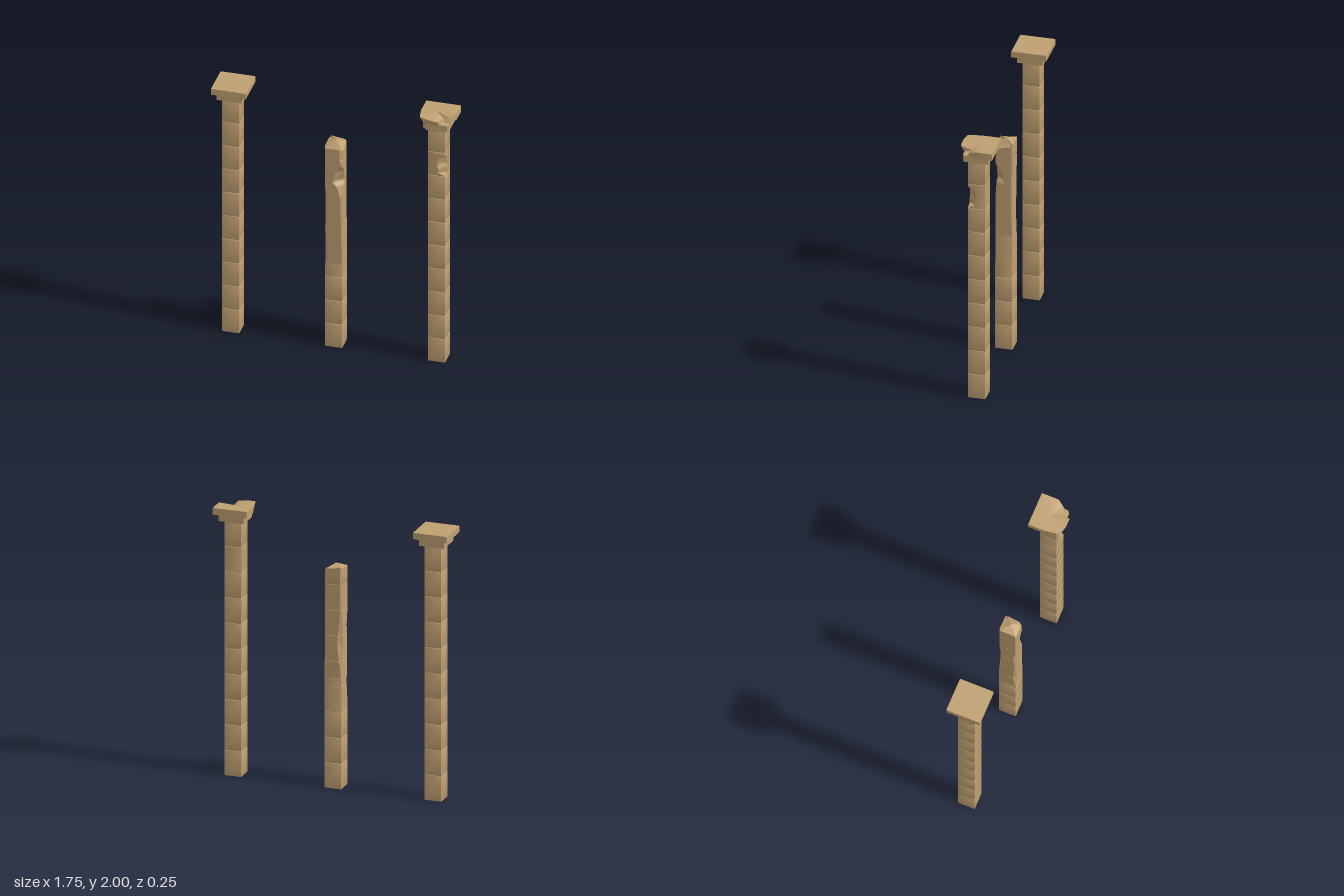
import * as THREE from 'three';
import { toCreasedNormals } from 'three/addons/utils/BufferGeometryUtils.js';

const stone = new THREE.MeshStandardMaterial({ color: 0xc0a072 });
const HALF = 0.063, BLOCK = 0.1895, GROOVE = 0.0025;

// Skin a stack of equal-length rings of [x, y, z] and close both ends.
// Rings run counter-clockwise seen from above.
function loft(name, rings, topCentre, crease = 0.9) {
  const pos = [], n = rings[0].length;
  const tri = (a, b, c) => pos.push(...a, ...b, ...c);
  const mean = (r) => [0, 1, 2].map((k) => r.reduce((s, p) => s + p[k], 0) / n);
  const low = rings[0], high = rings[rings.length - 1];
  const highMid = topCentre || mean(high);
  const lowMid = [highMid[0], mean(low)[1], highMid[2]];
  for (let i = 0; i < n; i++) {
    const j = (i + 1) % n;
    for (let r = 0; r + 1 < rings.length; r++) {
      const a = rings[r], b = rings[r + 1];
      tri(a[i], a[j], b[j]);
      tri(a[i], b[j], b[i]);
    }
    tri(lowMid, low[j], low[i]);
    tri(highMid, high[i], high[j]);
  }
  const geo = new THREE.BufferGeometry();
  geo.setAttribute('position', new THREE.Float32BufferAttribute(pos, 3));
  const mesh = new THREE.Mesh(toCreasedNormals(geo, crease), stone);
  mesh.name = name;
  return mesh;
}

// Square section whose four corners are each hollowed by their own cut
const CORNERS = [[1, 1], [1, -1], [-1, -1], [-1, 1]];
function section(h, y, cuts = [0, 0, 0, 0], shift = 0) {
  return CORNERS.flatMap(([sx, sz], i) => {
    const c = Math.max(cuts[i], 0.002), m = h - c * 0.62;
    const point = (x, z) => [sx * x + shift, y, sz * z + shift];
    const onZ = point(h - c, h), mid = point(m, m), onX = point(h, h - c);
    return sx * sz > 0 ? [onZ, mid, onX] : [onX, mid, onZ];
  });
}

// Linear lookup in a list of [height, cut]
function sample(list, y) {
  if (!list.length) return 0;
  if (y <= list[0][0]) return list[0][1];
  for (let i = 1; i < list.length; i++) {
    const [y0, c0] = list[i - 1], [y1, c1] = list[i];
    if (y <= y1) return c0 + ((c1 - c0) * (y - y0)) / (y1 - y0);
  }
  return list[list.length - 1][1];
}

// Full-width rings between two seams, with corner wear
function wornRings(y0, y1, steps, wear) {
  return Array.from({ length: steps + 1 }, (_, s) => {
    const y = y0 + GROOVE + ((y1 - y0 - 2 * GROOVE) * s) / steps;
    return section(HALF, y, wear.map((l) => sample(l, y)));
  });
}

// One shaft block with chamfered seams
function block(i, name = 'shaftBlock', steps = 1, wear = [[], [], [], []]) {
  const y0 = i * BLOCK, y1 = y0 + BLOCK;
  return loft(name, [section(HALF - GROOVE, y0), ...wornRings(y0, y1, steps, wear),
    section(HALF - GROOVE, y1)]);
}

function shaft(group, from, to) {
  for (let i = from; i < to; i++) group.add(block(i));
}

// Square slab with tiny chamfers
function slab(name, h, y0, y1, cuts) {
  const e = 0.002;
  return loft(name, [section(h - e, y0, cuts), section(h, y0 + e, cuts),
    section(h, y1 - e, cuts), section(h - e, y1, cuts)], undefined, 0.5);
}

function intactColumn() {
  const g = new THREE.Group();
  g.name = 'intactColumn';
  shaft(g, 0, 10);
  g.add(slab('capitalNeck', 0.095, 1.895, 1.95), slab('capitalSlab', 0.127, 1.95, 2));
  return g;
}

function brokenColumn() {
  const g = new THREE.Group();
  g.name = 'brokenColumn';
  const wear = [
    [[0.57, 0], [0.9, 0.008], [1.22, 0.014], [1.31, 0.04], [1.335, 0.075], [1.38, 0.058],
      [1.42, 0.05], [1.45, 0.03], [1.47, 0.01], [1.6, 0.02]],
    [[0.84, 0], [1.1, 0.012], [1.5, 0.008]],
    [[0.8, 0], [1.08, 0.032], [1.3, 0.01], [1.5, 0.008]],
    [[0.6, 0], [0.76, 0.02], [0.95, 0.008], [1.2, 0.018], [1.3, 0.004]],
  ];
  shaft(g, 0, 3);
  // Worn upper shaft: seams survive only on the back and right faces
  const rings = [section(HALF - GROOVE, 3 * BLOCK)];
  for (let i = 3; i < 8; i++) {
    const y1 = (i + 1) * BLOCK;
    rings.push(...wornRings(i * BLOCK, y1, 12, wear),
      section(HALF - GROOVE / 2, y1, wear.map((l) => sample(l, y1)), GROOVE / 2));
  }
  // Jagged stump at the top
  const cuts = wear.map((l) => sample(l, 1.58));
  const heights = [1.61, 1.59, 1.595, 1.62, 1.615, 1.63, 1.645, 1.62, 1.635, 1.63, 1.605, 1.605];
  const crown = section(HALF, 0, cuts).map(([x, , z], i) => [x, heights[i], z]);
  rings.push(section(HALF, 1.52, cuts), section(HALF, 1.57, cuts), crown);
  g.add(loft('brokenShaft', rings, [0, 1.66, 0], 0.6));
  return g;
}

function damagedColumn() {
  const g = new THREE.Group();
  g.name = 'damagedColumn';
  shaft(g, 0, 8);
  // Deep bite out of the front corner of the ninth block
  const bite = [[1.524, 0.002], [1.532, 0.048], [1.57, 0.046], [1.6, 0.06], [1.635, 0.054],
    [1.662, 0.046], [1.67, 0.022], [1.682, 0.002]];
  g.add(block(8, 'chippedBlock', 24, [bite, [], [], []]));
  shaft(g, 9, 10);
  g.add(slab('capitalNeck', 0.095, 1.895, 1.95, [0.01, 0, 0, 0.025]));
  // Broken slab: [x, z] outline at the bottom, then [x, z, height] at the top
  const under = [[-0.127, -0.127], [-0.127, 0], [-0.1, 0.06], [-0.085, 0.1], [-0.04, 0.115],
    [0.03, 0.105], [0.05, 0.055], [0.095, 0.06], [0.127, -0.01], [0.127, -0.127]];
  const over = [[-0.127, -0.127, 2], [-0.127, 0, 2], [-0.118, 0.07, 2], [-0.105, 0.11, 2],
    [-0.04, 0.125, 1.995], [0.028, 0.125, 1.985], [0.045, 0.03, 1.965], [0.1, 0.042, 1.98],
    [0.127, 0, 2], [0.127, -0.127, 2]];
  g.add(loft('brokenCapitalSlab', [under.map(([x, z]) => [x, 1.95, z]),
    over.map(([x, z, y]) => [x, y, z])], [-0.03, 2, -0.02], 0.5));
  return g;
}

export function createModel() {
  const model = new THREE.Group();
  model.name = 'ruinedColumns';
  [intactColumn(), brokenColumn(), damagedColumn()].forEach((column, i) => {
    column.position.x = (i - 1) * 0.75;
    model.add(column);
  });
  return model;
}
